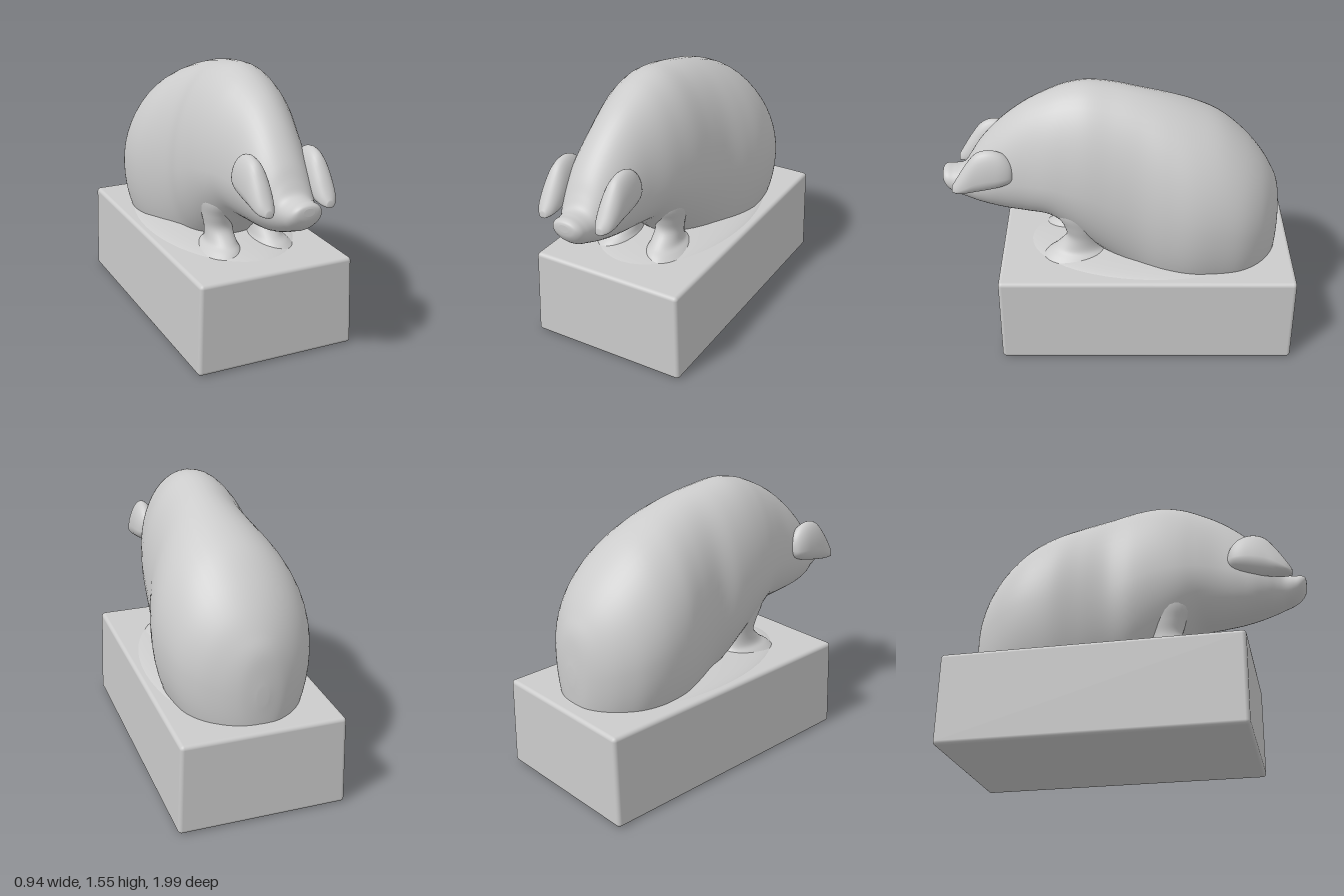
import * as THREE from 'three';
import { RoundedBoxGeometry } from 'three/addons/geometries/RoundedBoxGeometry.js';

const material = new THREE.MeshStandardMaterial({ color: 0xcccccc });

function addMesh(parent, geometry, name) {
  const mesh = new THREE.Mesh(geometry, material);
  mesh.name = name;
  parent.add(mesh);
  return mesh;
}

// Smooth cubic interpolation between neighbouring section keys
function sampleKeys(keys, t) {
  const i = Math.min(Math.floor(t), keys.length - 2), f = t - i;
  const at = (k) => keys[Math.max(0, Math.min(keys.length - 1, k))];
  const [a, b, c, d] = [at(i - 1), at(i), at(i + 1), at(i + 2)];
  return b.map((v, k) => {
    const m0 = (c[k] - a[k]) / 2, m1 = (d[k] - v) / 2, e = c[k] - v;
    return v + f * (m0 + f * (3 * e - 2 * m0 - m1 + f * (m0 + m1 - 2 * e)));
  });
}

// Loft of egg-shaped sections along z.
// Key: [z, top, bottom, halfWidth, centreX, height of the widest point]
function loft(keys, steps = 6, sides = 48) {
  const pos = [], index = [], rings = (keys.length - 1) * steps + 1;
  for (let i = 0; i < rings; i++) {
    const [z, top, bottom, w, cx, mid] = sampleKeys(keys, i / steps);
    for (let j = 0; j < sides; j++) {
      const a = (j / sides) * Math.PI * 2, s = Math.sin(a);
      pos.push(cx + w * Math.cos(a), mid + s * (s > 0 ? top - mid : mid - bottom), z);
    }
  }
  for (let i = 0; i < rings - 1; i++) {
    for (let j = 0; j < sides; j++) {
      const k = (j + 1) % sides;
      const a = i * sides + j, b = i * sides + k;
      index.push(a, b, a + sides, b, b + sides, a + sides);
    }
  }
  // End caps
  [[0, keys[0]], [(rings - 1) * sides, keys[keys.length - 1]]].forEach(([start, key], end) => {
    const centre = pos.length / 3;
    pos.push(key[4], key[5], key[0]);
    for (let j = 0; j < sides; j++) {
      const a = start + j, b = start + ((j + 1) % sides);
      if (end) index.push(centre, a, b);
      else index.push(centre, b, a);
    }
  });
  const g = new THREE.BufferGeometry();
  g.setAttribute('position', new THREE.Float32BufferAttribute(pos, 3));
  g.setIndex(index);
  g.computeVertexNormals();
  return g;
}

export function createModel() {
  const model = new THREE.Group();
  model.name = 'pigOnPlinth';

  // Plinth, slightly narrower at the top
  const box = new RoundedBoxGeometry(0.92, 0.525, 1.67, 4, 0.022);
  box.translate(0, 0.2625, -0.155);
  const p = box.attributes.position;
  for (let i = 0; i < p.count; i++) p.setX(i, p.getX(i) * (1.02 - 0.07 * p.getY(i)));
  addMesh(model, box, 'plinth');

  // Low swell where the animal meets the plinth
  const swell = new THREE.SphereGeometry(1, 48, 16, 0, Math.PI * 2, 0, Math.PI / 2);
  swell.scale(0.43, 0.065, 0.75);
  swell.translate(0, 0.505, -0.2);
  addMesh(model, swell, 'groundSwell');

  // Body and head in one skin, from rump to snout
  addMesh(model, loft([
    [-0.912, 0.74, 0.64, 0.03, -0.01, 0.69],
    [-0.895, 0.91, 0.44, 0.12, -0.01, 0.70],
    [-0.85, 1.02, 0.32, 0.21, -0.005, 0.72],
    [-0.78, 1.13, 0.25, 0.295, 0, 0.75],
    [-0.68, 1.24, 0.21, 0.365, 0, 0.78],
    [-0.55, 1.345, 0.2, 0.402, 0, 0.82],
    [-0.4, 1.42, 0.2, 0.408, 0.008, 0.84],
    [-0.25, 1.475, 0.24, 0.373, 0.018, 0.87],
    [-0.1, 1.515, 0.35, 0.332, 0.018, 0.91],
    [0.04, 1.54, 0.46, 0.323, 0.005, 0.95],
    [0.18, 1.552, 0.57, 0.306, 0.003, 1.0],
    [0.3, 1.53, 0.67, 0.283, 0, 1.02],
    [0.4, 1.49, 0.74, 0.257, 0, 1.03],
    [0.52, 1.425, 0.752, 0.22, -0.005, 1.02],
    [0.63, 1.34, 0.762, 0.195, -0.012, 1.0],
    [0.72, 1.25, 0.78, 0.175, -0.018, 0.97],
    [0.79, 1.165, 0.8, 0.15, -0.018, 0.95],
    [0.84, 1.085, 0.818, 0.125, -0.015, 0.94],
    [0.88, 1.03, 0.835, 0.108, -0.012, 0.935],
    [0.93, 1.02, 0.857, 0.098, -0.01, 0.94],
    [0.97, 1.02, 0.89, 0.088, -0.01, 0.955],
    [0.993, 1.01, 0.925, 0.065, -0.01, 0.97],
    [1.0, 0.995, 0.955, 0.03, -0.01, 0.975],
  ]), 'bodyAndHead');

  for (const [side, sx] of [['left', 1], ['right', -1]]) {
    // Drooping ear, fullest along its lower edge
    const ear = (z, top, bottom, w, x) =>
      [z, top, bottom, w, sx * x - 0.02, bottom + 0.33 * (top - bottom)];
    addMesh(model, loft([
      ear(0.575, 1.1, 1.05, 0.015, 0.175),
      ear(0.6, 1.155, 1.02, 0.045, 0.178),
      ear(0.65, 1.2, 0.995, 0.062, 0.178),
      ear(0.72, 1.215, 0.975, 0.066, 0.177),
      ear(0.79, 1.19, 0.96, 0.065, 0.175),
      ear(0.85, 1.115, 0.95, 0.06, 0.175),
      ear(0.9, 1.035, 0.947, 0.045, 0.175),
      ear(0.93, 0.985, 0.95, 0.02, 0.172),
    ], 5, 32), side + 'Ear');

    // Front leg, lofted upright from a splayed foot into the shoulder
    const leg = (y, back, front, w, x) => [y, -back, -front, w, sx * x, -(front + back) / 2];
    const g = loft([
      leg(0.5, 0.06, 0.46, 0.14, 0.165),
      leg(0.545, 0.08, 0.415, 0.105, 0.15),
      leg(0.58, 0.105, 0.365, 0.082, 0.14),
      leg(0.65, 0.12, 0.305, 0.077, 0.14),
      leg(0.73, 0.11, 0.32, 0.088, 0.145),
      leg(0.83, 0.08, 0.36, 0.1, 0.15),
      leg(0.98, 0.08, 0.32, 0.08, 0.16),
    ], 5, 32);
    addMesh(model, g.rotateX(-Math.PI / 2), side + 'FrontLeg');
  }
  return model;
}
